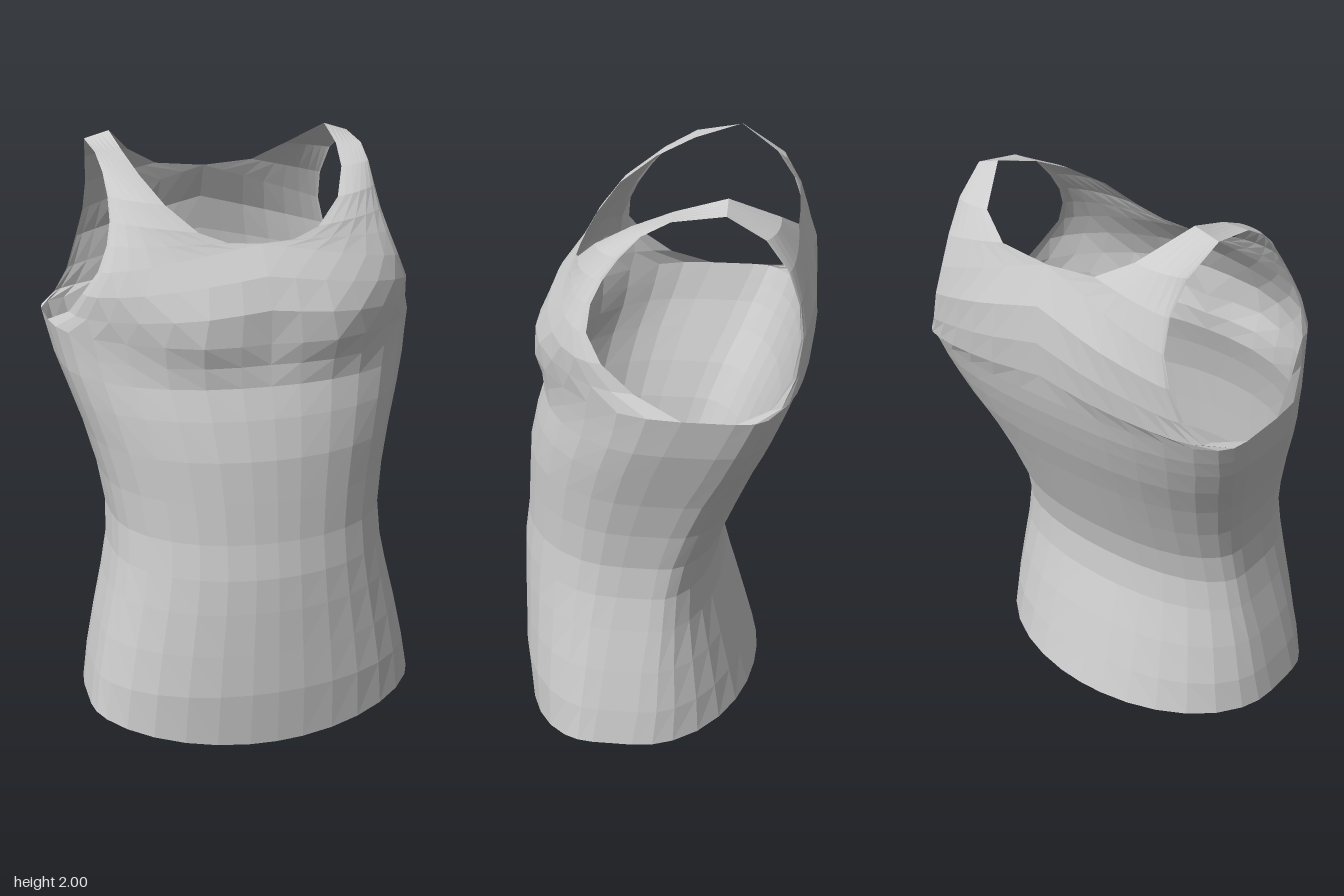
import * as THREE from 'three';

const { lerp } = THREE.MathUtils;

// Horizontal rings of the torso:
// height, half width, front z, side z (front end), side z (back end), back z
const LEVELS = [
  [0.07, 0.59, 0.495, 0.19, 0.05, -0.36],
  [0.2, 0.57, 0.51, 0.17, 0.03, -0.32],
  [0.35, 0.54, 0.507, 0.15, 0.02, -0.275],
  [0.5, 0.505, 0.505, 0.13, 0, -0.228],
  [0.62, 0.482, 0.5, 0.11, -0.01, -0.215],
  [0.74, 0.475, 0.482, 0.09, -0.03, -0.24],
  [0.88, 0.495, 0.472, 0.06, -0.07, -0.295],
  [1.02, 0.53, 0.46, 0.02, -0.12, -0.35],
  [1.15, 0.572, 0.43, -0.02, -0.18, -0.405],
  [1.25, 0.605, 0.395, -0.06, -0.22, -0.44],
  [1.32, 0.62, 0.385, -0.09, -0.25, -0.463],
  [1.39, 0.635, 0.385, -0.12, -0.28, -0.48],
];

// Columns from the centre line (0) to the side (1)
const COLS = [0, 0.16, 0.35, 0.53, 0.7, 0.84, 0.94, 0.985, 1];

// Roundness of the cross-section quarters, at the hem and at the armpits
const FRONT_N = [2, 2.2];
const BACK_N = [2, 2.6];
const curve = (t, n, m = n) => Math.pow(1 - Math.pow(t, n), 1 / m);

const bell = (x, y, cx, cy, sx, sy) =>
  Math.exp(-(((x - cx) / sx) ** 2) - ((y - cy) / sy) ** 2);
const bust = (x, y) => 0.04 * bell(x, y, 0.22, 1.41, 0.17, 0.1);
const blade = (x, y) => -0.012 * bell(x, y, 0.22, 1.6, 0.14, 0.2);

// Front edges: neckline (inner) and armhole (outer), bottom to shoulder
const FRONT_INNER = [
  [0, 1.5, 0.392], [0, 1.6, 0.352], [0, 1.69, 0.277], [0.11, 1.697, 0.272],
  [0.2, 1.73, 0.25], [0.29, 1.81, 0.18], [0.345, 1.89, 0.06],
  [0.372, 1.95, -0.07], [0.385, 2, -0.23],
];
const FRONT_OUTER = [
  [0.585, 1.45, 0.03], [0.555, 1.53, 0.13], [0.51, 1.61, 0.18], [0.478, 1.69, 0.17],
  [0.46, 1.76, 0.135], [0.455, 1.83, 0.085], [0.457, 1.9, 0.02],
  [0.463, 1.95, -0.07], [0.47, 1.975, -0.23],
];

// Back edges, bottom to shoulder
const BACK_INNER = [
  [0, 1.48, -0.495], [0, 1.6, -0.503], [0, 1.72, -0.49], [0, 1.84, -0.44],
  [0.18, 1.855, -0.435], [0.29, 1.915, -0.385], [0.385, 2, -0.23],
];
const BACK_OUTER = [
  [0.575, 1.415, -0.385], [0.515, 1.49, -0.44], [0.475, 1.6, -0.46], [0.447, 1.7, -0.45],
  [0.44, 1.8, -0.415], [0.45, 1.9, -0.345], [0.47, 1.975, -0.23],
];

// Half ring: front centre, round the left side, to back centre
function halfRing([y, w, zf, sf, sb, zb], i) {
  const s = i / (LEVELS.length - 1);
  const dip = i === 0 ? 0.07 : 0; // the hem hangs lower at the front
  const front = COLS.map((t) => [
    w * t,
    y - dip * (1 - t * t),
    sf + (zf - sf) * curve(t, lerp(...FRONT_N, s)) + bust(w * t, y),
  ]);
  const back = COLS.map((t) => [w * t, y, sb + (zb - sb) * curve(t, lerp(...BACK_N, s))]);
  return [...front, ...back.reverse()];
}

// Depth along an edge at a given height
function depthAt(edge, y) {
  const i = Math.max(1, edge.findIndex((p) => p[1] >= y));
  const [, y0, z0] = edge[i - 1];
  const [, y1, z1] = edge[i];
  return lerp(z0, z1, THREE.MathUtils.clamp((y - y0) / (y1 - y0), 0, 1));
}

// Rows between a neckline edge and an armhole edge, flattening toward the strap
function panelRows(inner, outer, n, bump) {
  return inner.map((a, r) => {
    const b = outer[r];
    const s = (r + 1) / inner.length;
    return COLS.map((t) => {
      const x = lerp(a[0], b[0], t);
      const y = lerp(a[1], b[1], t);
      const crown = lerp(depthAt(inner, y), a[2], s * s);
      return [x, y, b[2] + (crown - b[2]) * curve(t, n, lerp(n, 1, s)) + bump(x, y)];
    });
  });
}

// Skin a grid of half rows and its mirror image
function mirroredSkin(rows) {
  const cols = rows[0].length;
  const pos = [];
  const index = [];
  for (const side of [1, -1]) {
    const base = pos.length / 3;
    rows.forEach((row) => row.forEach(([x, y, z]) => pos.push(side * x, y, z)));
    for (let r = 0; r < rows.length - 1; r++) {
      for (let c = 0; c < cols - 1; c++) {
        const a = base + r * cols + c;
        const b = a + 1, d = a + cols, e = d + 1;
        if (side > 0) index.push(a, b, e, a, e, d);
        else index.push(a, e, b, a, d, e);
      }
    }
  }
  const geo = new THREE.BufferGeometry();
  geo.setAttribute('position', new THREE.Float32BufferAttribute(pos, 3));
  geo.setIndex(index);
  geo.computeVertexNormals();
  return geo;
}

export function createModel() {
  const group = new THREE.Group();
  group.name = 'tankTop';
  const fabric = new THREE.MeshStandardMaterial({
    color: 0xcccccc, flatShading: true, side: THREE.DoubleSide,
  });
  fabric.name = 'grey fabric';

  const rings = LEVELS.map(halfRing);
  const top = rings[rings.length - 1];
  const n = COLS.length;

  const add = (name, rows) => {
    const mesh = new THREE.Mesh(mirroredSkin(rows), fabric);
    mesh.name = name;
    group.add(mesh);
  };

  // Torso from hem to armpits
  add('torso', rings);
  // Chest with front straps
  const frontRows = panelRows(FRONT_INNER, FRONT_OUTER, FRONT_N[1], bust);
  add('frontPanel', [top.slice(0, n), ...frontRows]);
  // Upper back with rear straps
  const backRows = panelRows(BACK_INNER, BACK_OUTER, BACK_N[1], blade);
  add('backPanel', [top.slice(n), ...backRows.map((row) => row.reverse())]);

  return group;
}
